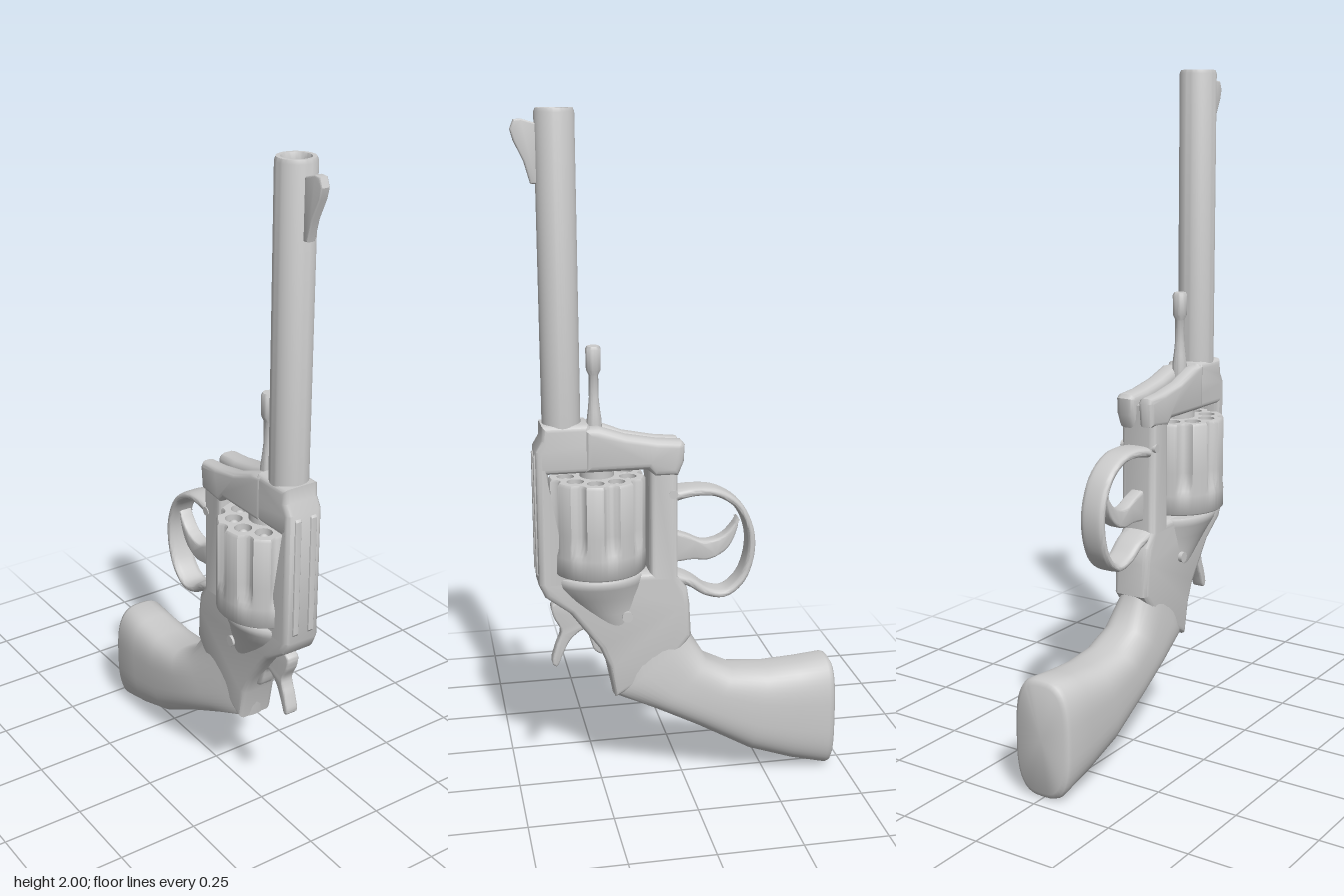
import * as THREE from 'three';
import { toCreasedNormals } from 'three/addons/utils/BufferGeometryUtils.js';

const mat = new THREE.MeshStandardMaterial({ color: 0xcccccc, roughness: 0.6 });
const matDouble = new THREE.MeshStandardMaterial({ color: 0xcccccc, roughness: 0.6, side: THREE.DoubleSide });
const V = (x, y, z) => new THREE.Vector3(x, y, z);

export function createModel() {
  const model = new THREE.Group();

  function add(name, geo, parent = model, material = mat) {
    const mesh = new THREE.Mesh(geo, material);
    mesh.name = name;
    parent.add(mesh);
    return mesh;
  }

  // Side profile of [z, y] points, extruded from x0 to x1 with rounded edges
  function slab(name, pts, x0, x1, bevel, { smooth = false, hole = null } = {}) {
    let p = pts.map(([z, y]) => new THREE.Vector2(z, y));
    if (smooth) {
      p = new THREE.CatmullRomCurve3(pts.map(([z, y]) => V(z, y, 0)), true).getPoints(pts.length * 5)
        .slice(0, -1).map(q => new THREE.Vector2(q.x, q.y));
    }
    const shape = new THREE.Shape(p);
    if (hole) shape.holes.push(new THREE.Path(hole.map(([z, y]) => new THREE.Vector2(z, y))));
    const geo = new THREE.ExtrudeGeometry(shape, {
      depth: x1 - x0 - 2 * bevel, bevelEnabled: true, bevelThickness: bevel,
      bevelSize: bevel, bevelOffset: -bevel, bevelSegments: 3,
    });
    geo.rotateY(-Math.PI / 2).translate(x1 - bevel, 0, 0);
    return add(name, toCreasedNormals(geo, 0.6));
  }

  // Skin over a list of closed rings, optionally capped
  function loft(rings, capped = true, crease = 0.8) {
    const n = rings[0].length, pos = [], idx = [];
    rings.forEach(r => r.forEach(v => pos.push(v.x, v.y, v.z)));
    for (let i = 0; i < rings.length - 1; i++) {
      for (let j = 0; j < n; j++) {
        const k = (j + 1) % n, a = i * n, b = a + n;
        idx.push(a + j, a + k, b + k, a + j, b + k, b + j);
      }
    }
    if (capped) {
      [0, rings.length - 1].forEach((i, end) => {
        const c = rings[i].reduce((s, v) => s.add(v), V(0, 0, 0)).divideScalar(n);
        const ci = pos.length / 3;
        pos.push(c.x, c.y, c.z);
        for (let j = 0; j < n; j++) {
          const p = i * n + j, q = i * n + (j + 1) % n;
          idx.push(ci, end ? p : q, end ? q : p);
        }
      });
    }
    const geo = new THREE.BufferGeometry();
    geo.setAttribute('position', new THREE.Float32BufferAttribute(pos, 3));
    geo.setIndex(idx);
    return toCreasedNormals(geo, crease);
  }

  // Superellipse ring around c, spanned by half axes a and b
  function ring(c, a, b, power, n = 40) {
    return Array.from({ length: n }, (_, j) => {
      const t = j / n * Math.PI * 2, f = v => Math.sign(v) * Math.abs(v) ** (2 / power);
      return c.clone().addScaledVector(a, f(Math.cos(t))).addScaledVector(b, f(Math.sin(t)));
    });
  }

  // Surface of revolution about a vertical axis at depth z
  function turned(name, pts, z, parent = model, seg = 32) {
    const geo = new THREE.LatheGeometry(pts.map(([r, y]) => new THREE.Vector2(r, y)), seg);
    const mesh = add(name, toCreasedNormals(geo, 0.6), parent, matDouble);
    mesh.position.z = z;
    return mesh;
  }

  // Barrel with open bore, and front sight
  turned('barrel', [[0.055, 1.05], [0.055, 1.99], [0.051, 2], [0.04, 2], [0.034, 1.985], [0.034, 1.1]], 0.35, model, 48);
  slab('frontSight', [[0.4, 1.8], [0.418, 1.8], [0.435, 1.86], [0.462, 1.915], [0.47, 1.945],
    [0.46, 1.97], [0.44, 1.972], [0.4, 1.96]], -0.013, 0.013, 0.004);

  // Frame with cylinder window
  slab('frame', [[0.43, 0.66], [0.43, 1.06], [0.412, 1.09], [0.41, 1.132], [0.28, 1.132], [0.25, 1.09], [0.17, 1.06],
    [0.02, 1.04], [0.02, 0.66], [-0.008, 0.62], [-0.015, 0.57], [-0.02, 0.47], [0.05, 0.38], [0.21, 0.29],
    [0.23, 0.39], [0.255, 0.45], [0.3, 0.51], [0.34, 0.565], [0.412, 0.62]], -0.058, 0.058, 0.017,
  { hole: [[0.395, 0.677], [0.105, 0.677], [0.105, 0.99], [0.395, 0.99]] });

  // Rails on the top strap, leaving a sighting groove
  for (const s of [-1, 1]) {
    slab('strapRail', [[0.42, 0.67], [0.435, 0.69], [0.435, 1.04], [0.42, 1.06]], s * 0.026 - 0.01, s * 0.026 + 0.01, 0.003);
  }

  // Front lug on one side and crane on the other, with a channel between
  slab('frontLug', [[0.3, 0.99], [0.3, 1.13], [0.25, 1.122], [0.17, 1.09], [0.08, 1.072], [0.01, 1.065], [0.003, 1.05],
    [0.01, 0.98], [0.1, 0.97], [0.12, 0.99]], -0.06, -0.012, 0.015);
  slab('crane', [[0.29, 0.993], [0.29, 1.12], [0.25, 1.122], [0.17, 1.095], [0.08, 1.078], [0.01, 1.072], [0, 1.06],
    [0.003, 1.01], [0.02, 0.97], [0.09, 0.97], [0.11, 0.993]], 0.002, 0.066, 0.02);

  // Recoil shield flaring out behind the cylinder: [y, half width, half depth, centre z]
  add('recoilShield', loft([[0.45, 0.04, 0.05, 0.17], [0.5, 0.053, 0.07, 0.19], [0.56, 0.067, 0.095, 0.22],
    [0.61, 0.084, 0.12, 0.24], [0.65, 0.104, 0.135, 0.25], [0.668, 0.11, 0.138, 0.25], [0.676, 0.106, 0.135, 0.25]]
    .map(([y, w, d, z]) => ring(V(0, y, z), V(0, 0, d), V(w, 0, 0), 2))));

  // Fluted cylinder with nine chambers
  const drum = new THREE.Group();
  drum.name = 'cylinder';
  drum.position.z = 0.25;
  model.add(drum);
  const chambers = 9, flutedRing = (y, r, depth) => Array.from({ length: 144 }, (_, j) => {
    const t = j / 144 * Math.PI * 2;
    const q = r - depth * Math.max(0, -Math.cos(chambers * t)) ** 0.7;
    return V(q * Math.sin(t), y, q * Math.cos(t));
  });
  add('cylinderWall', loft([[0.69, 0.135, 0], [0.695, 0.14, 0], [0.75, 0.14, 0], [0.765, 0.14, 0.006], [0.79, 0.14, 0.014],
    [0.82, 0.14, 0.018], [0.962, 0.14, 0.018], [0.97, 0.135, 0.016]].map(a => flutedRing(...a)), false), drum);
  const face = new THREE.Shape(flutedRing(0, 0.135, 0.016).map(v => new THREE.Vector2(v.x, -v.z)).reverse());
  for (let k = 0; k < chambers; k++) {
    const t = k / chambers * Math.PI * 2, x = 0.091 * Math.sin(t), z = 0.091 * Math.cos(t);
    face.holes.push(new THREE.Path().absarc(x, -z, 0.025, 0, Math.PI * 2, true));
    add('chamber', new THREE.CylinderGeometry(0.025, 0.025, 0.08, 20, 1, true), drum, matDouble).position.set(x, 0.93, z);
    const round = add('roundNose', new THREE.SphereGeometry(0.02, 16, 10), drum);
    round.scale.y = 1.5;
    round.position.set(x, 0.935, z);
    add('chamberFloor', new THREE.CylinderGeometry(0.025, 0.025, 0.01, 20), drum).position.set(x, 0.9, z);
  }
  add('cylinderFront', new THREE.ShapeGeometry(face, 10).rotateX(-Math.PI / 2).translate(0, 0.97, 0), drum, matDouble);
  add('cylinderBack', new THREE.CircleGeometry(0.135, 48).rotateX(Math.PI / 2).translate(0, 0.69, 0), drum);
  add('cylinderBushing', new THREE.CylinderGeometry(0.05, 0.05, 0.03, 24).translate(0, 0.98, 0), drum);
  add('ratchet', new THREE.CylinderGeometry(0.05, 0.05, 0.02, 9).translate(0, 0.682, 0), drum);

  // Ejector rod with knurled-style tip
  turned('ejectorRod', [[0.022, 1.05], [0.022, 1.13], [0.018, 1.16], [0.014, 1.2], [0.014, 1.265], [0.021, 1.28],
    [0.022, 1.34], [0.018, 1.348], [0, 1.348]], 0.255, model, 20);

  // Trigger guard: flat strap swept along a loop
  const path = new THREE.CatmullRomCurve3([[0.04, 0.9], [-0.03, 0.91], [-0.1, 0.903], [-0.165, 0.86], [-0.203, 0.78],
    [-0.204, 0.7], [-0.175, 0.625], [-0.125, 0.588], [-0.07, 0.598], [-0.02, 0.632], [0.04, 0.655]].map(([z, y]) => V(0, y, z)));
  add('triggerGuard', loft(Array.from({ length: 49 }, (_, i) => {
    const u = i / 48, p = path.getPointAt(u), t = path.getTangentAt(u);
    const end = Math.abs(2 * u - 1) ** 4;
    return ring(p, V(0.039 + 0.012 * end, 0, 0), V(0, t.z, -t.y).multiplyScalar(0.012 + 0.006 * end), 3.2, 24);
  })));

  // Trigger and hammer
  slab('trigger', [[0.04, 0.785], [-0.01, 0.775], [-0.065, 0.752], [-0.12, 0.765], [-0.155, 0.8], [-0.168, 0.82],
    [-0.165, 0.785], [-0.135, 0.725], [-0.08, 0.695], [-0.03, 0.698], [0.04, 0.7]], -0.022, 0.022, 0.007, { smooth: true });
  slab('hammer', [[0.39, 0.585], [0.388, 0.55], [0.366, 0.5], [0.382, 0.45], [0.393, 0.4], [0.38, 0.39], [0.36, 0.43],
    [0.335, 0.475], [0.295, 0.5], [0.265, 0.43], [0.24, 0.42], [0.24, 0.52], [0.32, 0.6]], -0.02, 0.02, 0.006, { smooth: true });

  // Grip: rounded sections from [upper z, y] to [lower z, y] with half width
  const gripRows = [[-0.014, 0.53, 0.232, 0.42, 0.05], [-0.02, 0.47, 0.212, 0.288, 0.062], [-0.07, 0.385, 0.09, 0.235, 0.08],
    [-0.15, 0.344, -0.04, 0.17, 0.09], [-0.26, 0.337, -0.2, 0.078, 0.094], [-0.36, 0.344, -0.335, 0.03, 0.094],
    [-0.445, 0.353, -0.445, 0.002, 0.094], [-0.457, 0.349, -0.457, 0.006, 0.09], [-0.465, 0.335, -0.465, 0.02, 0.078]];
  add('grip', loft(gripRows.map(([za, ya, zb, yb, w]) => ring(
    V(0, (ya + yb) / 2, (za + zb) / 2), V(w, 0, 0), V(0, (yb - ya) / 2, (zb - za) / 2), 3, 48))));

  // Pins through the frame
  for (const [y, z, r, w] of [[0.55, 0.175, 0.016, 0.14], [0.915, 0.035, 0.013, 0.122]]) {
    add('pin', new THREE.CylinderGeometry(r, r, w, 20).rotateZ(Math.PI / 2).translate(0, y, z));
  }
  return model;
}
